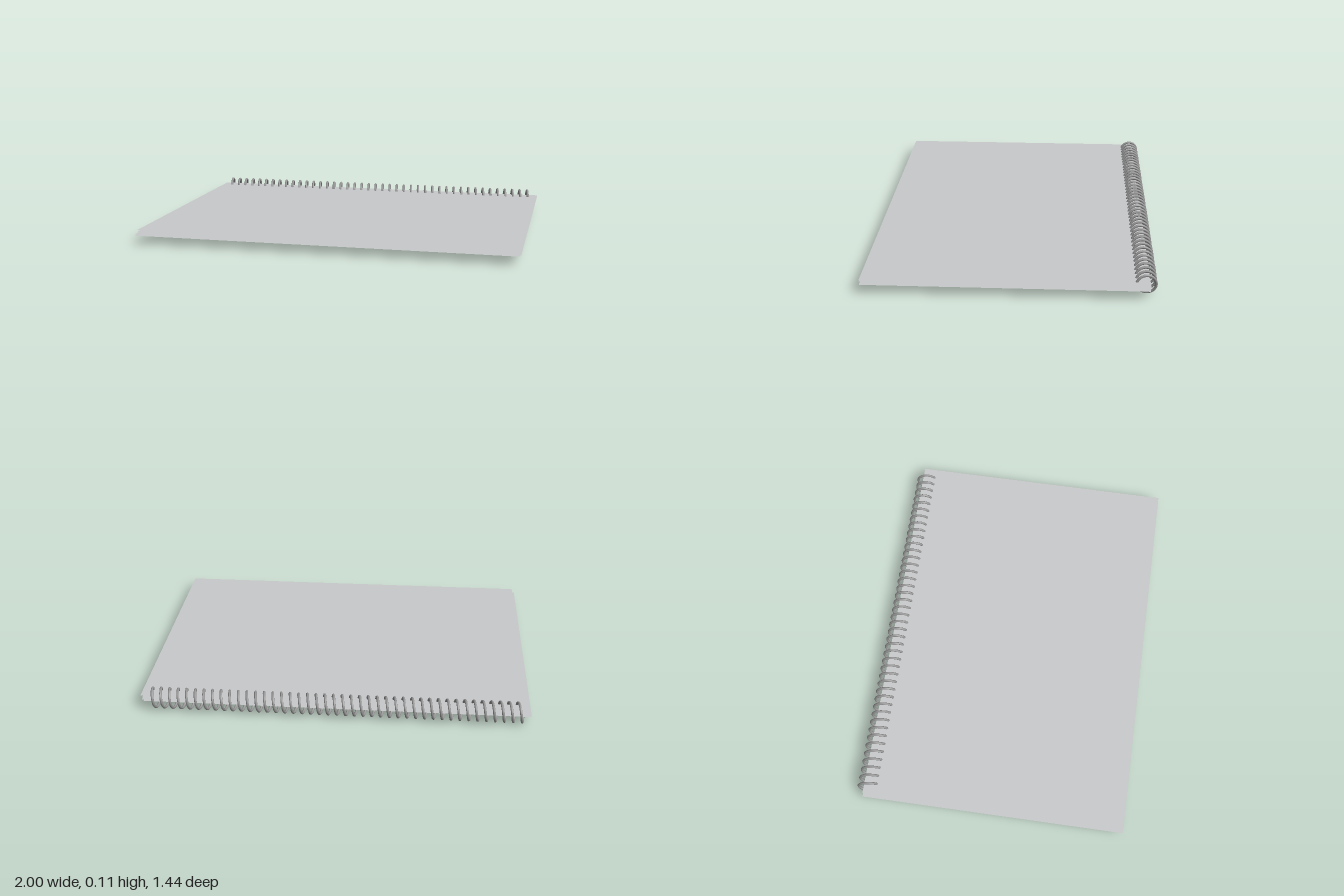
import * as THREE from 'three';

// Coil running along x, starting at its front and winding down, back, up
class Coil extends THREE.Curve {
  constructor(x0, x1, turns, radius, y, z) {
    super();
    Object.assign(this, { x0, x1, turns, radius, y, z });
  }
  getPoint(t, target = new THREE.Vector3()) {
    const a = t * this.turns * Math.PI * 2;
    return target.set(
      this.x0 + (this.x1 - this.x0) * t,
      this.y - Math.sin(a) * this.radius,
      this.z + Math.cos(a) * this.radius
    );
  }
  // Uniform winding, so no arc-length lookup is needed
  getPointAt(t, target) { return this.getPoint(t, target); }
  getTangentAt(t, target) { return this.getTangent(t, target); }
}

export function createModel() {
  const group = new THREE.Group();
  const paper = new THREE.MeshStandardMaterial({ color: 0xc8c9cb, side: THREE.DoubleSide });
  paper.name = 'pale grey paper';
  const metal = new THREE.MeshStandardMaterial({ color: 0x979797 });
  metal.name = 'grey wire';

  // Loose stack of paper-thin sheets, each a little out of line
  const back = -0.685, front = 0.72;
  const sheets = [
    ['backCover', 0.044, -1, 0.985],
    ['lowerPage', 0.051, -1, 0.995],
    ['upperPage', 0.066, -0.985, 0.99],
    ['frontCover', 0.075, -0.985, 1],
  ];
  for (const [name, y, left, right] of sheets) {
    const geo = new THREE.PlaneGeometry(right - left, front - back).rotateX(-Math.PI / 2);
    const sheet = new THREE.Mesh(geo, paper);
    sheet.name = name;
    sheet.position.set((left + right) / 2, y, (front + back) / 2);
    group.add(sheet);
  }

  // Spiral binding
  const turns = 43, wire = 0.0068;
  const path = new Coil(-0.97, 0.95, turns, 0.0495, 0.0565, -0.665);
  const binding = new THREE.Mesh(new THREE.TubeGeometry(path, turns * 28, wire, 8), metal);
  binding.name = 'spiralBinding';
  group.add(binding);

  // Cut ends of the wire
  for (const [t, dir] of [[0, -1], [1, 1]]) {
    const end = new THREE.Mesh(new THREE.CircleGeometry(wire, 8), metal);
    end.name = 'wireEnd';
    end.position.copy(path.getPoint(t));
    end.quaternion.setFromUnitVectors(
      new THREE.Vector3(0, 0, 1), path.getTangent(t).multiplyScalar(dir)
    );
    group.add(end);
  }
  return group;
}
